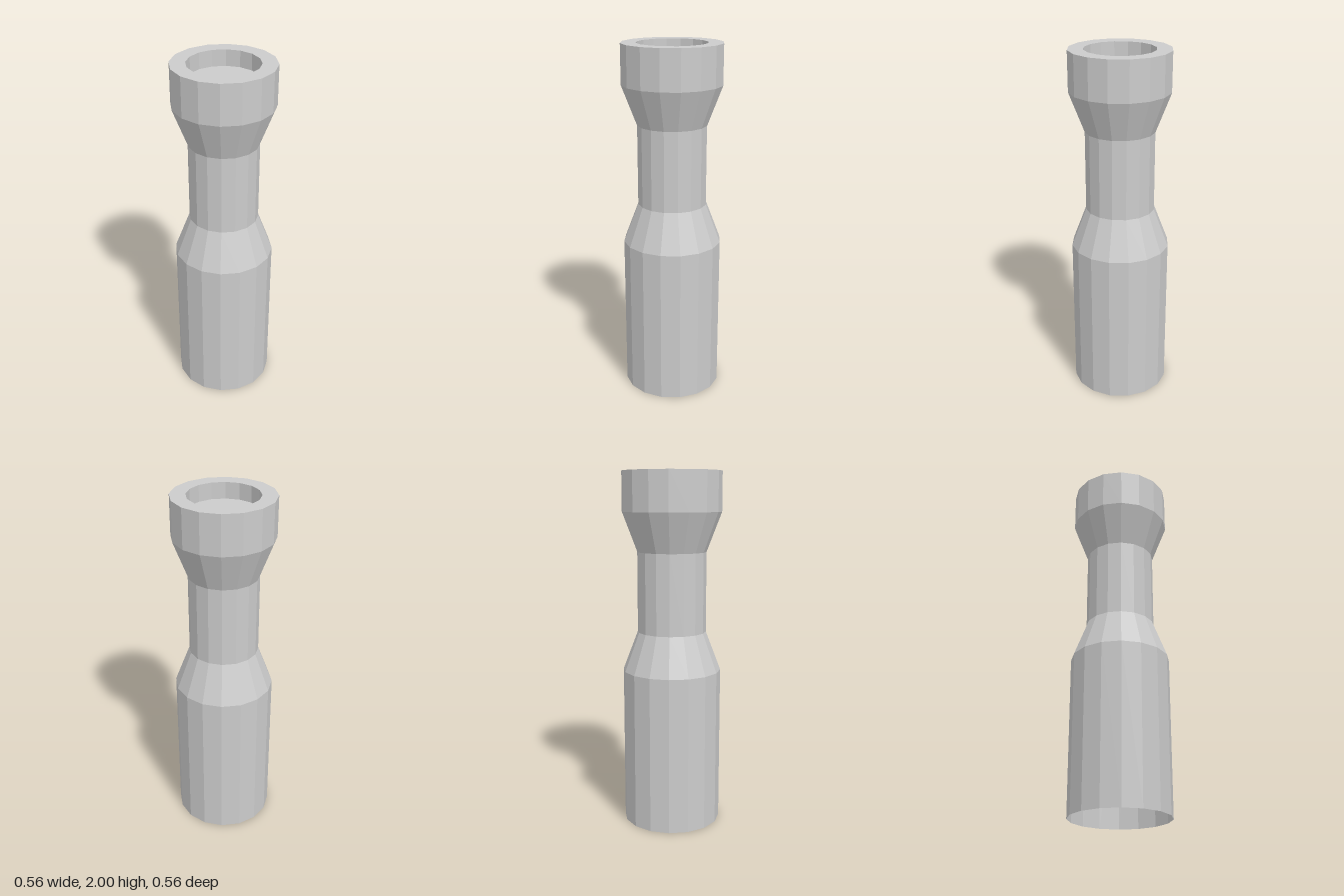
import * as THREE from 'three';

const SIDES = 16;
const WIDE = 0.278;
const NARROW = 0.194;
const CUP_FLOOR = 1.91;

const material = new THREE.MeshStandardMaterial({
  color: 0xcccccc, flatShading: true, side: THREE.DoubleSide,
});

// Faceted surface of revolution from [radius, height] pairs, outside wall listed upwards
function turned(name, profile) {
  const points = profile.map(([r, y]) => new THREE.Vector2(r, y));
  const geometry = new THREE.LatheGeometry(points, SIDES).toNonIndexed();
  geometry.computeVertexNormals();
  const mesh = new THREE.Mesh(geometry, material);
  mesh.name = name;
  return mesh;
}

export function createModel() {
  const group = new THREE.Group();
  group.name = 'neckedTube';

  // Thin-walled lower barrel, open at the bottom, with its tapered shoulder
  group.add(turned('barrel', [[WIDE, 0], [WIDE, 0.89], [NARROW, 1.11]]));

  // Slim straight neck
  group.add(turned('neck', [[NARROW, 1.11], [NARROW, 1.56]]));

  // Flared head, flat rim and the wall of the shallow recess
  group.add(turned('head', [
    [NARROW, 1.56], [WIDE, 1.78], [WIDE, 2], [NARROW, 2], [NARROW, CUP_FLOOR],
  ]));

  // Floor of the recess
  const floor = new THREE.Mesh(new THREE.CircleGeometry(NARROW, SIDES), material);
  floor.name = 'recessFloor';
  floor.rotation.x = -Math.PI / 2;
  floor.position.y = CUP_FLOOR;
  group.add(floor);

  return group;
}
